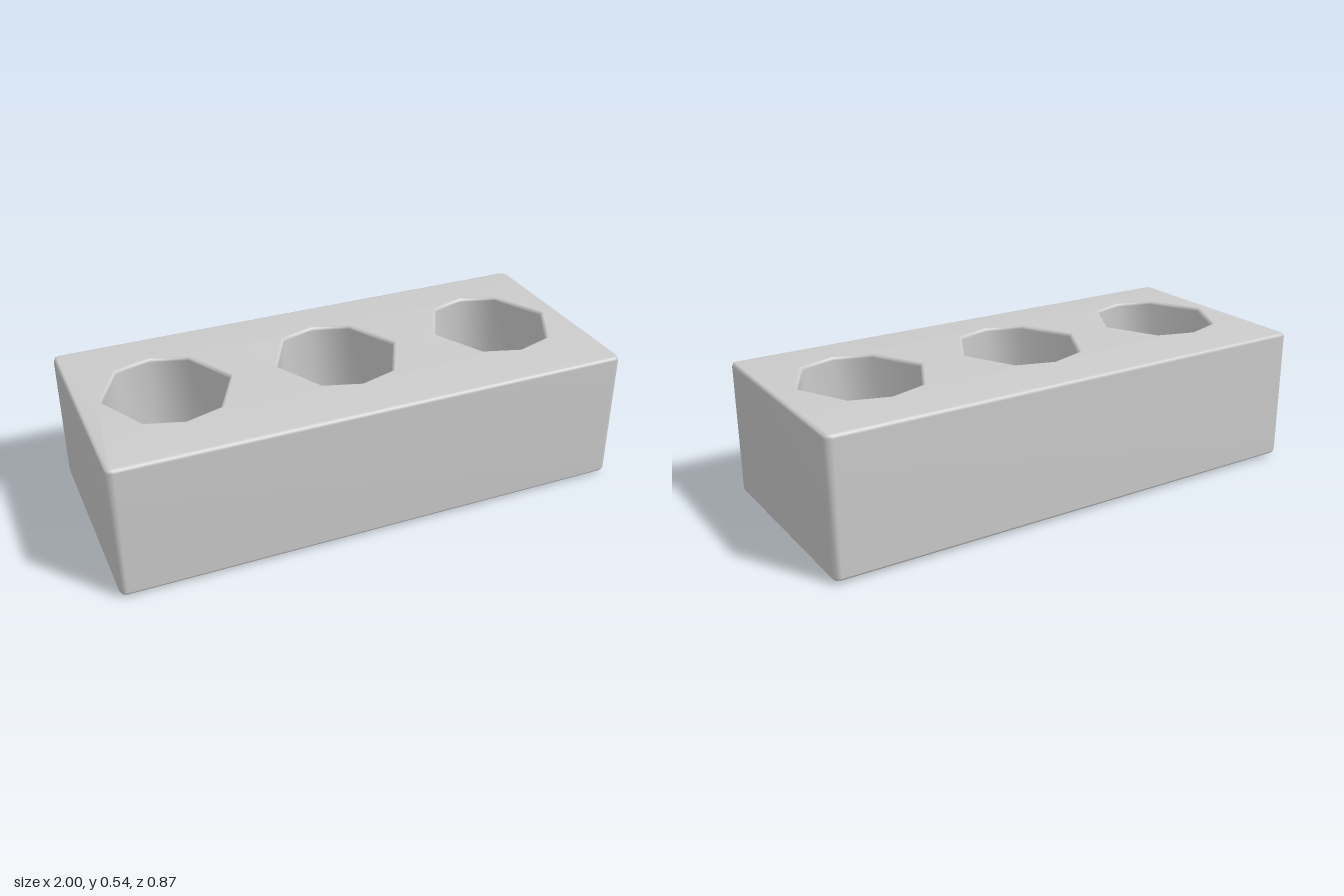
import * as THREE from 'three';
import { mergeVertices } from 'three/addons/utils/BufferGeometryUtils.js';

const W = 1, D = 0.436, H = 0.543; // half width, half depth, height
const BEVEL = 0.013, CORNER = 0.025, DROP = 0.011;

// Rectangle with slightly rounded corners
function outline() {
  const pts = [];
  const corners = [[1, 1], [-1, 1], [-1, -1], [1, -1]];
  corners.forEach(([sx, sy], i) => {
    for (let k = 0; k <= 2; k++) {
      const a = (i + k / 2) * Math.PI / 2;
      pts.push(new THREE.Vector2(
        sx * (W - CORNER) + CORNER * Math.cos(a),
        sy * (D - CORNER) + CORNER * Math.sin(a)));
    }
  });
  return new THREE.Shape(pts);
}

// Eight-sided hole, a little squarer than a regular octagon
function hole(cx) {
  const pts = [[0.24, 0], [0.14, 0.196], [0, 0.24], [-0.14, 0.196],
    [-0.24, 0], [-0.14, -0.196], [0, -0.24], [0.14, -0.196]];
  return new THREE.Path(pts.map(([x, y]) => new THREE.Vector2(cx + x, y)));
}

export function createModel() {
  const group = new THREE.Group();
  group.name = 'brick';

  const shape = outline();
  for (const cx of [-0.67, 0, 0.67]) shape.holes.push(hole(cx));

  // Solid block with softened edges around the outside and the hole rims
  let geo = new THREE.ExtrudeGeometry(shape, {
    depth: H - 2 * BEVEL, bevelEnabled: true, bevelSegments: 2,
    bevelSize: BEVEL, bevelThickness: BEVEL, bevelOffset: -BEVEL,
  });
  geo.rotateX(-Math.PI / 2);
  geo.translate(0, BEVEL, 0);

  // Pull the outer edges in so the top and bottom bulge gently at the holes
  const pos = geo.attributes.position;
  const mid = H / 2;
  for (let i = 0; i < pos.count; i++) {
    if (Math.abs(pos.getX(i)) > 0.94 || Math.abs(pos.getZ(i)) > 0.38) {
      pos.setY(i, mid + (pos.getY(i) - mid) * (1 - DROP / mid));
    }
  }

  // Shared vertices give soft, area-weighted normals over the bevels
  geo.deleteAttribute('uv');
  geo.deleteAttribute('normal');
  geo = mergeVertices(geo, 1e-4);
  geo.computeVertexNormals();

  const block = new THREE.Mesh(geo, new THREE.MeshStandardMaterial({ color: 0xcccccc }));
  block.name = 'brickBody';
  group.add(block);
  return group;
}
